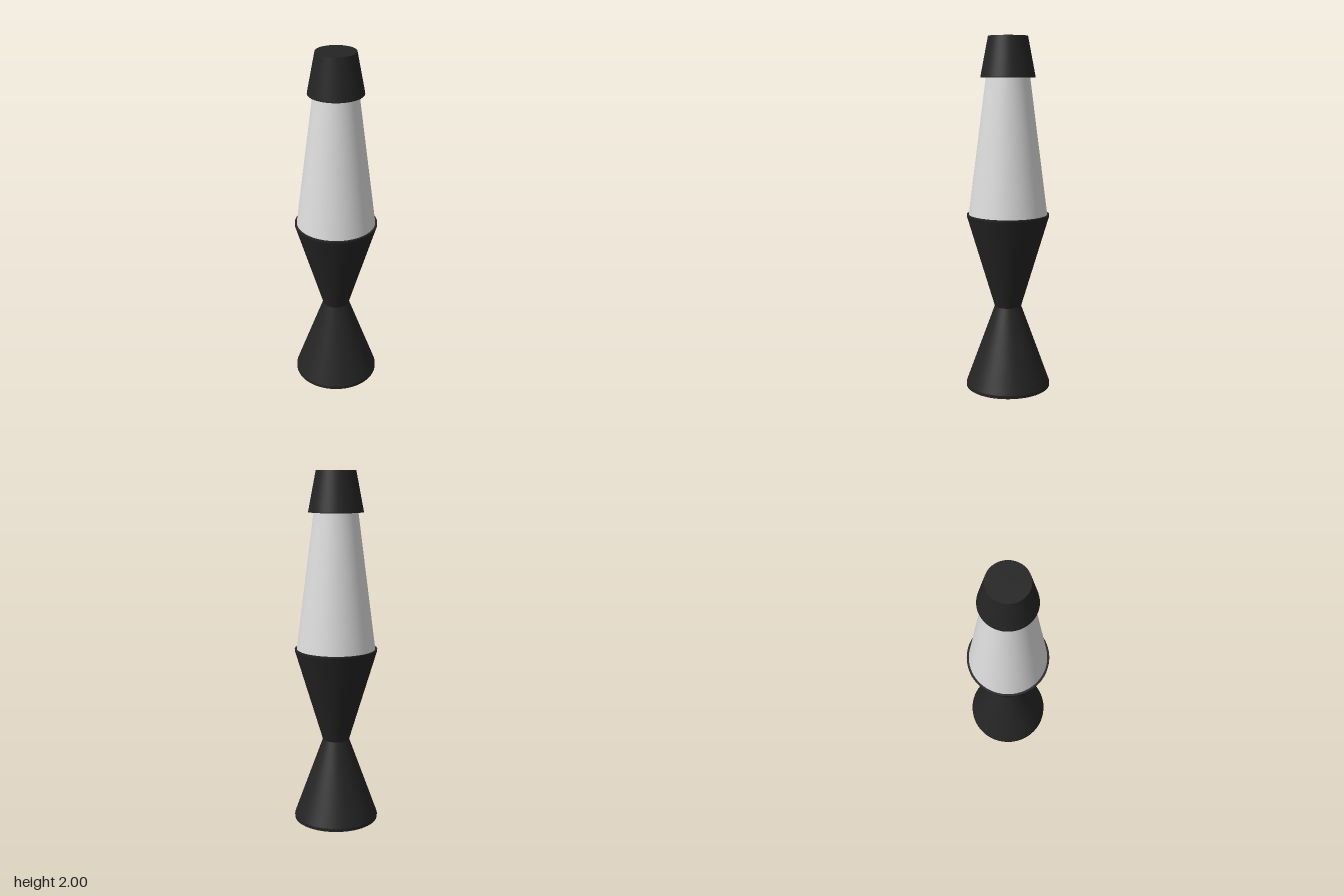
import * as THREE from 'three';
import { mergeGeometries } from 'three/addons/utils/BufferGeometryUtils.js';

const SEGMENTS = 64;

// Revolve a [radius, y] profile, listed bottom to top on the outside,
// smooth around the axis but with a sharp edge at every profile point
function turned(name, profile, material) {
  const bands = [];
  for (let i = 0; i < profile.length - 1; i++) {
    const pair = [profile[i], profile[i + 1]].map(([r, y]) => new THREE.Vector2(r, y));
    bands.push(new THREE.LatheGeometry(pair, SEGMENTS));
  }
  const mesh = new THREE.Mesh(mergeGeometries(bands), material);
  mesh.name = name;
  return mesh;
}

export function createModel() {
  const black = new THREE.MeshStandardMaterial({ color: 0x242424 });
  black.name = 'black metal';
  const glass = new THREE.MeshStandardMaterial({ color: 0xdcdcdc });
  glass.name = 'pale glass';

  const lamp = new THREE.Group();
  lamp.name = 'lavaLamp';

  // Flared foot with a thin upright rim
  lamp.add(turned('foot', [[0, 0], [0.242, 0], [0.242, 0.018], [0.076, 0.475]], black));

  // Cup that widens from the waist and holds the bottle
  lamp.add(turned('cup', [[0.076, 0.475], [0.234, 1.003], [0.234, 1.012], [0.22, 1.012]], black));

  // Tapered glass bottle
  lamp.add(turned('bottle', [[0.224, 1.0], [0.121, 1.79]], glass));

  // Overhanging cap with a flat top
  lamp.add(turned('cap', [[0.115, 1.775], [0.153, 1.775], [0.152, 1.783], [0.11, 2], [0, 2]], black));

  return lamp;
}
